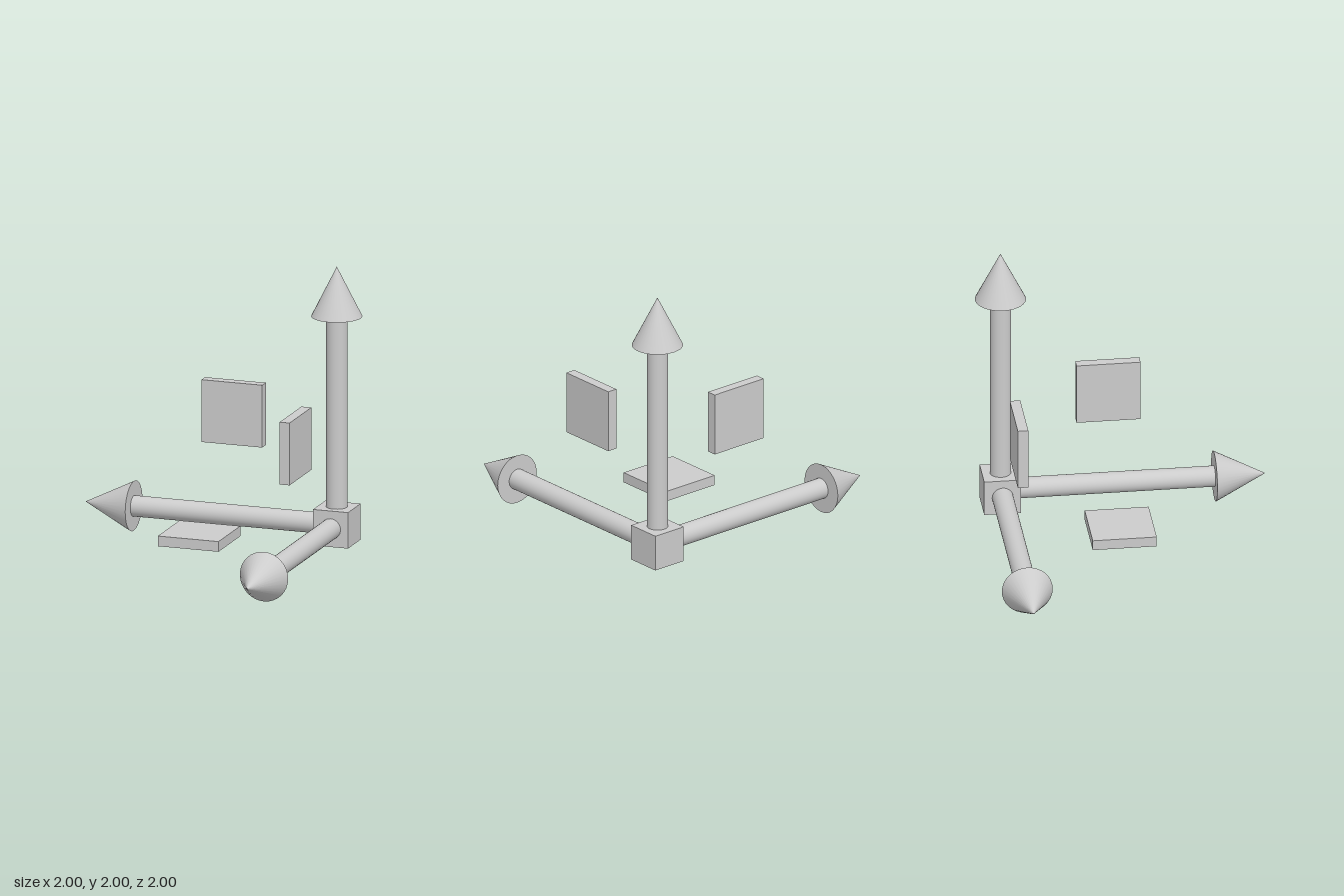
import * as THREE from 'three';

const REACH = 1.821;      // origin to arrow tip
const HEAD = 0.35;        // arrowhead length
const HEAD_R = 0.175;
const SHAFT_R = 0.0725;
const CUBE = 0.254;
const PLATE = 0.44;
const PLATE_T = 0.072;
const PLATE_MID = 0.735;  // plate centre along its two axes

export function createModel() {
  const material = new THREE.MeshStandardMaterial({ color: 0xcccccc });
  const model = new THREE.Group();
  model.name = 'axisGizmo';
  // everything is laid out around the corner where the axes meet
  model.position.set(0.821, 0.179, -0.821);

  const add = (parent, name, geometry) => {
    const mesh = new THREE.Mesh(geometry, material);
    mesh.name = name;
    parent.add(mesh);
    return mesh;
  };

  // central cube
  add(model, 'originCube', new THREE.BoxGeometry(CUBE, CUBE, CUBE));

  // one arrow and one plane handle per axis
  const up = new THREE.Vector3(0, 1, 0);
  const axes = {
    x: new THREE.Vector3(-1, 0, 0),
    y: up,
    z: new THREE.Vector3(0, 0, 1),
  };
  const corner = new THREE.Vector3(-1, 1, 1);
  const shaftLength = REACH - HEAD;

  for (const [key, direction] of Object.entries(axes)) {
    // arrow: shaft and cone head
    const arrow = new THREE.Group();
    arrow.name = key + 'Arrow';
    arrow.quaternion.setFromUnitVectors(up, direction);
    add(arrow, key + 'Shaft', new THREE.CylinderGeometry(SHAFT_R, SHAFT_R, shaftLength, 32))
      .position.y = shaftLength / 2;
    add(arrow, key + 'Head', new THREE.ConeGeometry(HEAD_R, HEAD, 32))
      .position.y = REACH - HEAD / 2;
    model.add(arrow);

    // floating square plate, thin along this axis
    const size = new THREE.Vector3(PLATE, PLATE, PLATE);
    size[key] = PLATE_T;
    const centre = new THREE.Vector3(PLATE_MID, PLATE_MID, PLATE_MID);
    centre[key] = PLATE_T / 2;
    add(model, key + 'PlanePlate', new THREE.BoxGeometry(size.x, size.y, size.z))
      .position.copy(centre.multiply(corner));
  }

  const root = new THREE.Group();
  root.add(model);
  return root;
}
